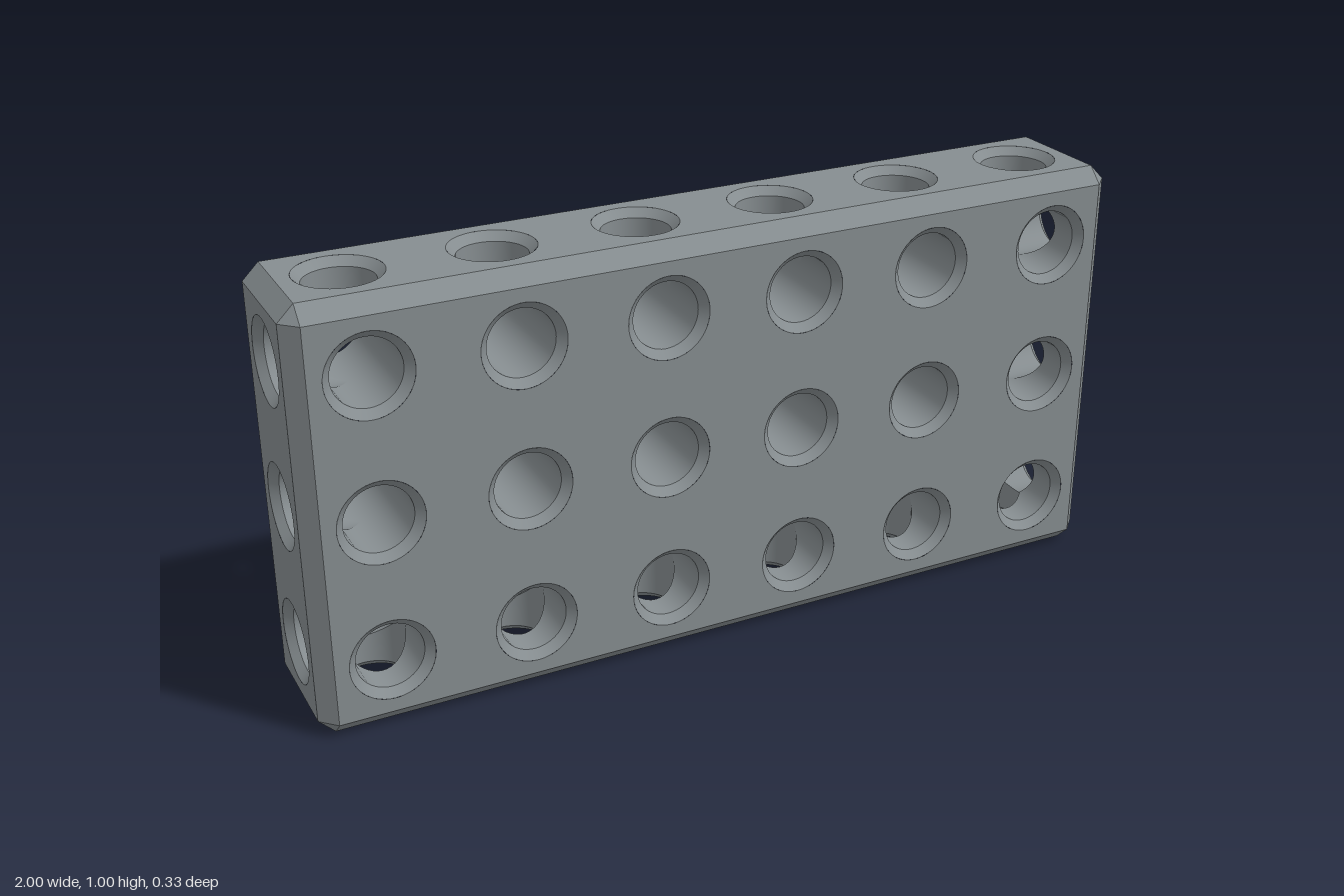
import * as THREE from 'three';
import { mergeGeometries } from 'three/addons/utils/BufferGeometryUtils.js';

const CELL = 1 / 3, HALF = [1, 0.5, CELL / 2];   // grid pitch and half size in x, y, z
const COUNT = [6, 3, 1];                         // cells per axis
const BEVEL = 0.037, BORE = 0.078, RIM = 0.097, SEGMENTS = 48;

const axis = (k, s = 1) => new THREE.Vector3().setComponent(k, s);

// Right-handed frame whose third axis points along the signed axis k
function frame(k, sign) {
  let ku = (k + 1) % 3, kv = (k + 2) % 3;
  if (sign < 0) [ku, kv] = [kv, ku];
  return { ku, kv, u: axis(ku), v: axis(kv), d: axis(k, sign) };
}

const cellCentre = (k, i) => (i - (COUNT[k] - 1) / 2) * CELL;

// Flat side pierced by a grid of round holes
function panel(k, sign) {
  const { ku, kv, u, v, d } = frame(k, sign);
  const w = HALF[ku] - BEVEL, h = HALF[kv] - BEVEL;
  const shape = new THREE.Shape();
  shape.moveTo(-w, -h).lineTo(w, -h).lineTo(w, h).lineTo(-w, h).closePath();
  for (let i = 0; i < COUNT[ku]; i++) {
    for (let j = 0; j < COUNT[kv]; j++) {
      const hole = new THREE.Path();
      hole.absarc(cellCentre(ku, i), cellCentre(kv, j), RIM, 0, Math.PI * 2, true);
      shape.holes.push(hole);
    }
  }
  const m = new THREE.Matrix4().makeBasis(u, v, d).setPosition(d.clone().multiplyScalar(HALF[k]));
  return new THREE.ShapeGeometry(shape, SEGMENTS).applyMatrix4(m);
}

// Bevel strips along the twelve edges, and triangles at the eight corners
function bevels() {
  const pos = [];
  const tri = (a, b, c) => {
    const n = b.clone().sub(a).cross(c.clone().sub(a));
    const order = n.dot(a) < 0 ? [a, c, b] : [a, b, c];
    order.forEach(p => pos.push(p.x, p.y, p.z));
  };
  // Panel corner on the side facing axis k
  const corner = (k, signs) => new THREE.Vector3(
    ...signs.map((s, i) => s * (HALF[i] - (i === k ? 0 : BEVEL))));
  for (const s1 of [-1, 1]) for (const s2 of [-1, 1]) {
    for (let k = 0; k < 3; k++) {
      const a = (k + 1) % 3, b = (k + 2) % 3;
      const ends = [-1, 1].map(s => {
        const signs = [];
        signs[k] = s; signs[a] = s1; signs[b] = s2;
        return signs;
      });
      const [p, q] = ends.map(e => corner(a, e));
      const [r, t] = ends.map(e => corner(b, e));
      tri(p, q, r);
      tri(q, t, r);
    }
    for (const s3 of [-1, 1]) tri(...[0, 1, 2].map(k => corner(k, [s1, s2, s3])));
  }
  const g = new THREE.BufferGeometry();
  g.setAttribute('position', new THREE.Float32BufferAttribute(pos, 3));
  g.computeVertexNormals();
  return g;
}

// Inward-facing ruled band; ends(radial) gives [radius, distance] at both ends
function band(centre, { u, v, d }, ends, tilt) {
  const pos = [], nor = [], idx = [];
  for (let i = 0; i <= SEGMENTS; i++) {
    const angle = i / SEGMENTS * Math.PI * 2;
    const radial = u.clone().multiplyScalar(Math.cos(angle)).addScaledVector(v, Math.sin(angle));
    const n = radial.clone().negate().addScaledVector(d, tilt).normalize();
    for (const [r, t] of ends(radial)) {
      pos.push(...centre.clone().addScaledVector(radial, r).addScaledVector(d, t).toArray());
      nor.push(n.x, n.y, n.z);
    }
    if (i < SEGMENTS) {
      const a = 2 * i;
      idx.push(a, a + 1, a + 2, a + 2, a + 1, a + 3);
    }
  }
  const g = new THREE.BufferGeometry();
  g.setAttribute('position', new THREE.Float32BufferAttribute(pos, 3));
  g.setAttribute('normal', new THREE.Float32BufferAttribute(nor, 3));
  g.setIndex(idx);
  return g;
}

export function createModel() {
  const group = new THREE.Group();
  group.name = 'perforatedBlock';
  const material = new THREE.MeshStandardMaterial({ color: 0x868d90 });
  const add = (geometry, name) => {
    const mesh = new THREE.Mesh(geometry, material);
    mesh.name = name;
    mesh.position.y = HALF[1];
    group.add(mesh);
  };

  // Outer shell
  const names = [['rightPanel', 'leftPanel'], ['bottomPanel', 'topPanel'], ['backPanel', 'frontPanel']];
  names.forEach((pair, k) => pair.forEach((name, i) => add(panel(k, i ? 1 : -1), name)));
  add(bevels(), 'bevelledEdges');

  // Each cell is bored from every outer side it touches; bores meet at its centre
  const bores = [], rims = [];
  const depth = CELL / 2, sink = RIM - BORE;
  for (let i = 0; i < COUNT[0]; i++) {
    for (let j = 0; j < COUNT[1]; j++) {
      const centre = new THREE.Vector3(cellCentre(0, i), cellCentre(1, j), 0);
      const arms = [];
      [i, j, 0].forEach((n, k) => {
        if (n === 0) arms.push(frame(k, -1));
        if (n === COUNT[k] - 1) arms.push(frame(k, 1));
      });
      for (const arm of arms) {
        // The wall starts where it leaves the crossing bores
        const start = radial => BORE * Math.max(0, ...arms.map(o => radial.dot(o.d)));
        bores.push(band(centre, arm, radial => [[BORE, start(radial)], [BORE, depth - sink]], 0));
        rims.push(band(centre, arm, () => [[BORE, depth - sink], [RIM, depth]], 1));
      }
    }
  }
  add(mergeGeometries(bores), 'boreWalls');
  add(mergeGeometries(rims), 'countersinks');
  return group;
}
